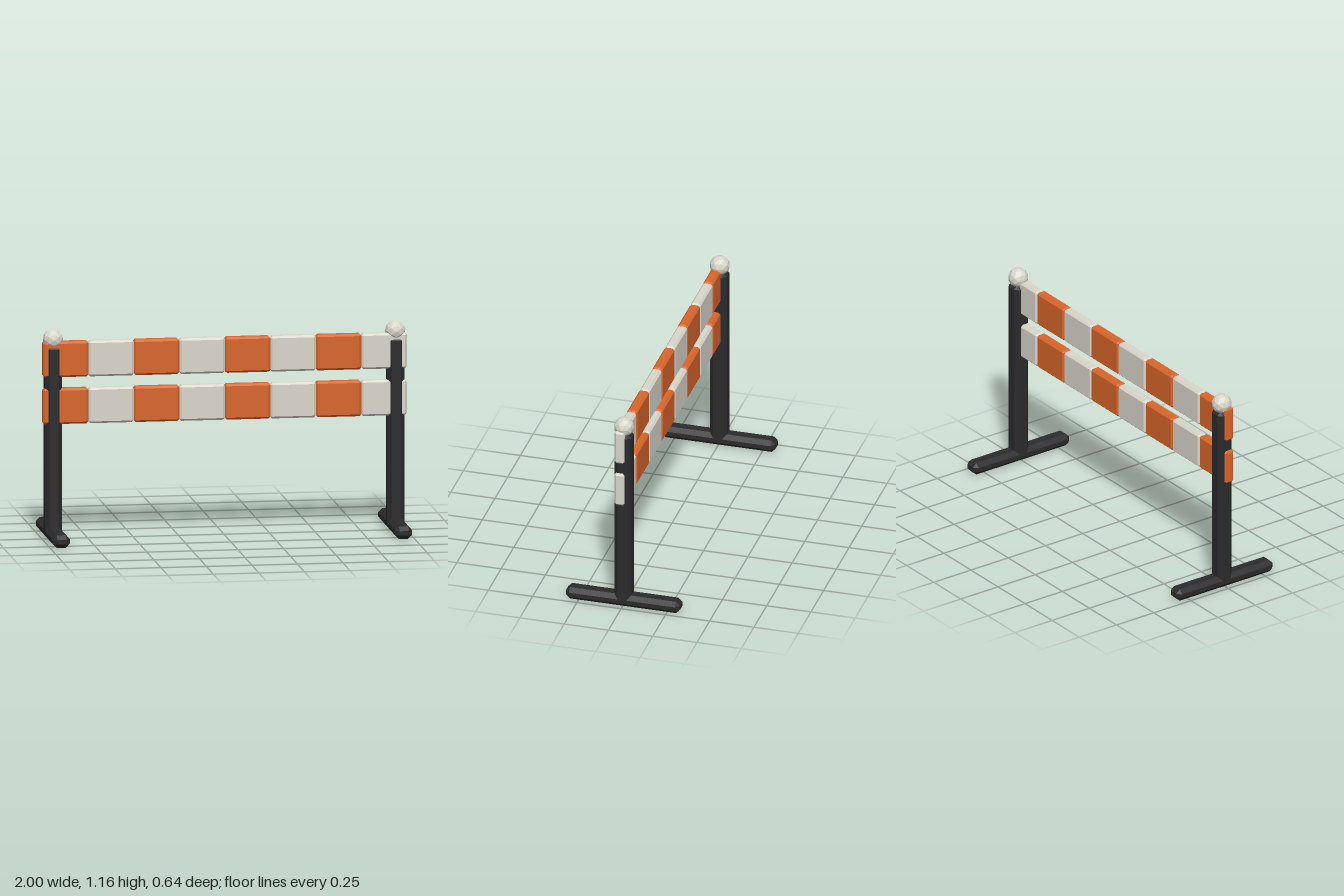
import * as THREE from 'three';
import { ConvexGeometry } from 'three/addons/geometries/ConvexGeometry.js';

const paint = (color) => new THREE.MeshStandardMaterial({ color, flatShading: true });

// Box with every edge cut by a single flat chamfer c
function chamferBox(w, h, d, c) {
  const points = [];
  for (const x of [-1, 1]) for (const y of [-1, 1]) for (const z of [-1, 1]) {
    for (let axis = 0; axis < 3; axis++) {
      const cut = [c, c, c];
      cut[axis] = 0;
      points.push(new THREE.Vector3(x * (w / 2 - cut[0]), y * (h / 2 - cut[1]), z * (d / 2 - cut[2])));
    }
  }
  return new ConvexGeometry(points);
}

export function createModel() {
  const model = new THREE.Group();
  const orange = paint(0xd9652a), white = paint(0xd9d6cb), black = paint(0x2b2b2d);

  const add = (name, geometry, material, x, y, z, parent = model) => {
    const mesh = new THREE.Mesh(geometry, material);
    mesh.name = name;
    mesh.position.set(x, y, z);
    parent.add(mesh);
  };

  // Uprights with feet and ball caps
  const post = chamferBox(0.095, 1.05, 0.095, 0.023);
  const foot = chamferBox(0.095, 0.07, 0.645, 0.023);
  const ball = new THREE.IcosahedronGeometry(0.056, 1);
  for (const [side, x] of [['left', 0.94], ['right', -0.94]]) {
    const upright = new THREE.Group();
    upright.name = side + 'Upright';
    model.add(upright);
    add(side + 'Post', post, black, x, 0.545, 0, upright);
    add(side + 'Foot', foot, black, x, 0.035, 0, upright);
    add(side + 'BallCap', ball, white, x, 1.1, 0, upright);
  }

  // Two rails of alternating coloured blocks
  const block = chamferBox(0.25, 0.196, 0.057, 0.011);
  for (const [name, y] of [['lowerRail', 0.734], ['upperRail', 0.992]]) {
    const rail = new THREE.Group();
    rail.name = name;
    model.add(rail);
    for (let i = 0; i < 8; i++) {
      add(name + 'Block' + (i + 1), block, i % 2 ? white : orange, -0.875 + i * 0.25, y, 0.012, rail);
    }
  }
  return model;
}
